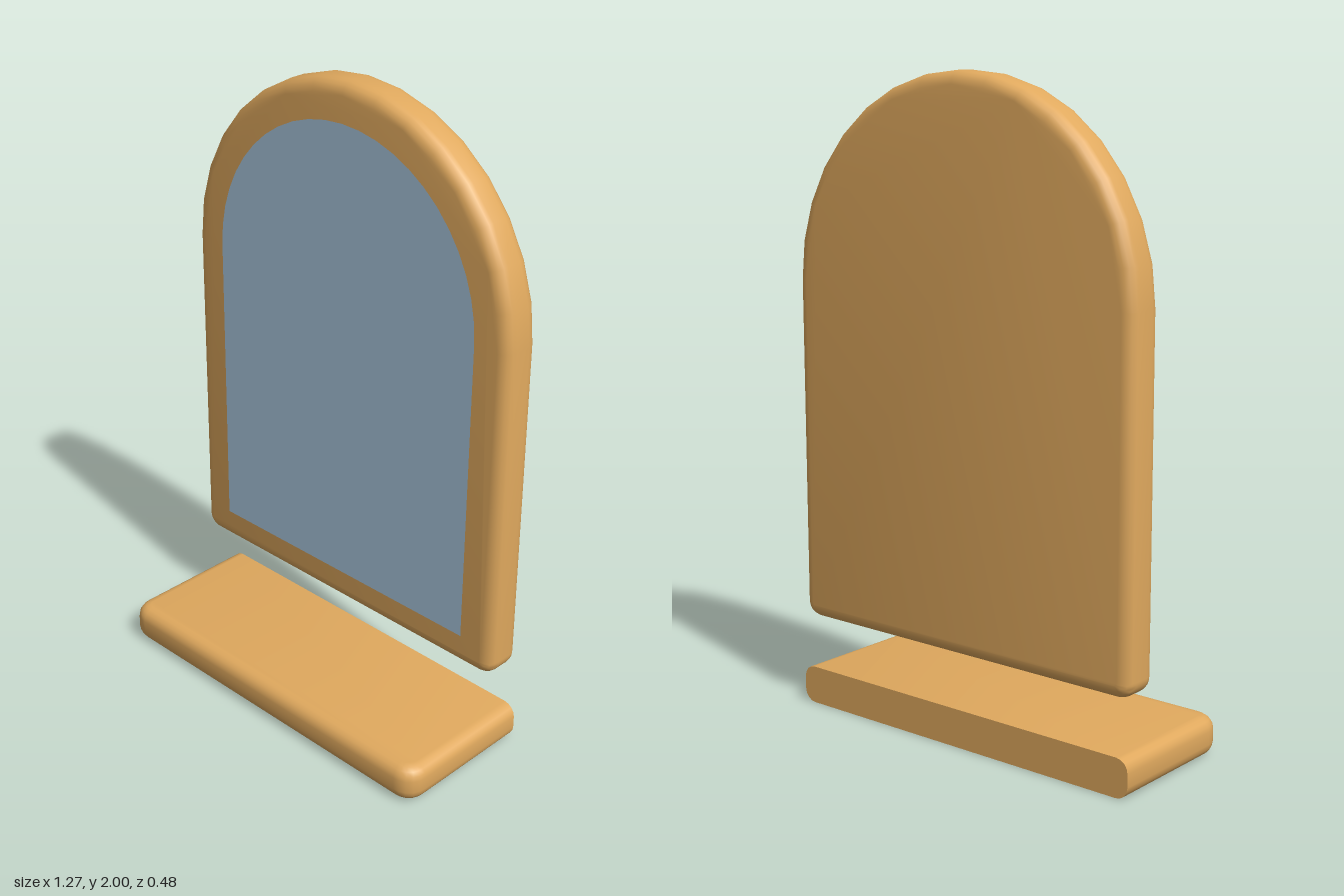
import * as THREE from 'three';
import { toCreasedNormals } from 'three/addons/utils/BufferGeometryUtils.js';

const BEVEL = 0.04;

// Arched outline: straight sides, semicircular top, slightly eased bottom corners
function archShape(halfWidth, bottom, springY, corner) {
  const s = new THREE.Shape();
  s.moveTo(-halfWidth + corner, bottom);
  s.lineTo(halfWidth - corner, bottom);
  if (corner) s.quadraticCurveTo(halfWidth, bottom, halfWidth, bottom + corner);
  s.lineTo(halfWidth, springY);
  s.absarc(0, springY, halfWidth, 0, Math.PI, false);
  s.lineTo(-halfWidth, bottom + corner);
  if (corner) s.quadraticCurveTo(-halfWidth, bottom, -halfWidth + corner, bottom);
  return s;
}

// Extrusion with rounded edges; the given shape is grown by BEVEL
function roundedSlab(shape, thickness, curveSegments) {
  return new THREE.ExtrudeGeometry(shape, {
    depth: thickness - 2 * BEVEL,
    bevelEnabled: true,
    bevelSize: BEVEL,
    bevelThickness: BEVEL,
    bevelSegments: 4,
    curveSegments,
  }).translate(0, 0, BEVEL);
}

export function createModel() {
  const wood = new THREE.MeshStandardMaterial({ color: 0xe0a95e });
  wood.name = 'wood';
  const glass = new THREE.MeshStandardMaterial({ color: 0xabc8df });
  glass.name = 'mirrorGlass';

  const model = new THREE.Group();
  model.name = 'mirrorWithShelf';
  const add = (name, geometry, material) => {
    const mesh = new THREE.Mesh(geometry, material);
    mesh.name = name;
    model.add(mesh);
  };

  // Arched wooden frame with a solid back
  const frame = roundedSlab(archShape(0.635 - BEVEL, 0.285 + BEVEL, 1.365, 0.012), 0.13, 8);
  frame.translate(0, 0, -0.24);
  add('frame', toCreasedNormals(frame, 0.8), wood);

  // Thin mirror surface lying on the front of the frame
  const pane = new THREE.ShapeGeometry(archShape(0.515, 0.39, 1.365, 0), 12);
  pane.translate(0, 0, -0.108);
  add('mirror', pane, glass);

  // Shelf: plan outline with rounded front corners, laid flat
  const w = 0.637 - BEVEL, front = -0.24 + BEVEL, back = 0.24, r = 0.03;
  const plan = new THREE.Shape();
  plan.moveTo(-w + r, front);
  plan.lineTo(w - r, front);
  plan.quadraticCurveTo(w, front, w, front + r);
  plan.lineTo(w, back);
  plan.lineTo(-w, back);
  plan.lineTo(-w, front + r);
  plan.quadraticCurveTo(-w, front, -w + r, front);
  const shelf = roundedSlab(plan, 0.12, 5).rotateX(-Math.PI / 2);

  // Cut the shelf flat where it meets the wall
  const p = shelf.attributes.position;
  for (let i = 0; i < p.count; i++) p.setZ(i, Math.max(p.getZ(i), -0.24));
  add('shelf', toCreasedNormals(shelf, 0.8), wood);

  return model;
}
